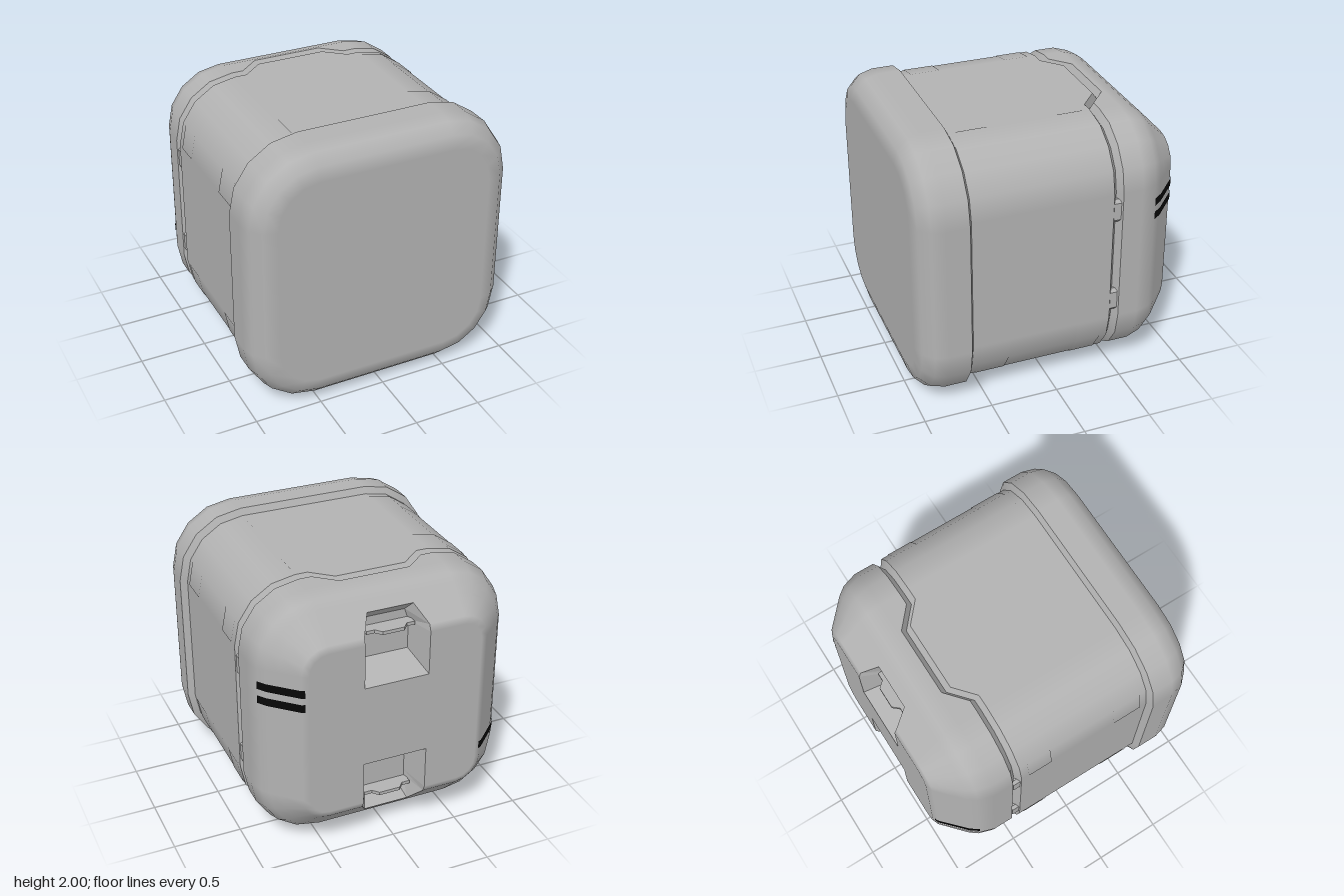
import * as THREE from 'three';

const RAD = Math.PI / 180;

// Rounded-square outline of half-size h; w is the inner break on the top and bottom edges
function outline(h, w = 0.26) {
  const pts = [];
  const r = h - 0.5;
  const corner = (cx, cy, start) => {
    for (let i = 0; i <= 4; i++) {
      const a = (start + i * 22.5) * RAD;
      pts.push({ x: cx + r * Math.cos(a), y: cy + r * Math.sin(a), a });
    }
  };
  const edge = (s) => [0.41, w, -w, -0.41].forEach((x, i) =>
    pts.push({ x: x * s, y: h * s, a: s * Math.PI / 2, inner: i === 1 || i === 2 }));
  corner(0.5, 0.5, 0);
  edge(1);
  corner(-0.5, 0.5, 90);
  corner(-0.5, -0.5, 180);
  edge(-1);
  corner(0.5, -0.5, 270);
  return pts;
}

// Skin through rows of { z, h, tilt of normal, shift of inner points, inner break, notch }
function loft(rows) {
  const pos = [], nor = [], idx = [];
  const n = 28;
  rows.forEach(({ z, h, tilt, shift = 0, w, notch }, k) => {
    const c = Math.cos(tilt * RAD), s = Math.sin(tilt * RAD);
    for (const p of outline(h, w)) {
      pos.push(p.x, p.y, z + (p.inner ? shift : 0));
      nor.push(c * Math.cos(p.a), c * Math.sin(p.a), s);
    }
    const prev = rows[k - 1];
    if (!prev || (prev.z === z && prev.h === h)) return;
    for (let i = 0; i < n; i++) {
      if (notch && (i === 6 || i === 20)) continue;
      const j = (i + 1) % n, a = (k - 1) * n, b = k * n;
      idx.push(a + i, b + i, a + j, a + j, b + i, b + j);
    }
  });
  const g = new THREE.BufferGeometry();
  g.setAttribute('position', new THREE.Float32BufferAttribute(pos, 3));
  g.setAttribute('normal', new THREE.Float32BufferAttribute(nor, 3));
  g.setIndex(idx);
  return g;
}

// Walls and floor of a sunken handle, from rim loop to floor loop
function pocketGeometry() {
  const mirror = (half) => [...half, ...half.map(([x, y, z]) => [-x, y, z]).reverse()];
  const rim = mirror([[0.24, 0.31, -1], [0.24, 0.64, -1], [0.24, 0.69, -0.98], [0.17, 0.811, -0.866]]);
  const floor = mirror([[0.17, 0.43, -0.8], [0.17, 0.6, -0.8], [0.17, 0.65, -0.8], [0.14, 0.74, -0.8]]);
  const pos = [];
  for (let i = 0; i < rim.length; i++) {
    const j = (i + 1) % rim.length;
    pos.push(...rim[i], ...rim[j], ...floor[i], ...rim[j], ...floor[j], ...floor[i]);
    if (i > 0 && j > 0) pos.push(...floor[0], ...floor[i], ...floor[j]);
  }
  const g = new THREE.BufferGeometry();
  g.setAttribute('position', new THREE.Float32BufferAttribute(pos, 3));
  g.computeVertexNormals();
  return g;
}

function extrude(points, depth) {
  const shape = new THREE.Shape(points.map(([x, y]) => new THREE.Vector2(x, y)));
  return new THREE.ExtrudeGeometry(shape, { depth, bevelEnabled: false });
}

export function createModel() {
  const grey = new THREE.MeshStandardMaterial({ color: 0xb2b2b2, side: THREE.DoubleSide });
  grey.name = 'grey shell';
  const black = new THREE.MeshStandardMaterial({ color: 0x080808, side: THREE.DoubleSide });
  black.name = 'black paint';

  const model = new THREE.Group();
  model.name = 'container';
  const body = new THREE.Group();
  body.name = 'body';
  body.position.y = 1;
  model.add(body);
  const add = (name, geometry, material = grey, parent = body) => {
    const m = new THREE.Mesh(geometry, material);
    m.name = name;
    parent.add(m);
    return m;
  };

  // Rounded front lid with its step
  add('frontLid', loft([
    { z: 1, h: 0.8, tilt: 90 }, { z: 0.973, h: 0.9, tilt: 60 }, { z: 0.9, h: 0.973, tilt: 30 },
    { z: 0.8, h: 1, tilt: 0 }, { z: 0.64, h: 1, tilt: 0 },
    { z: 0.64, h: 1, tilt: -63 }, { z: 0.615, h: 0.95, tilt: -63 },
  ]));

  // Middle section and V-shaped seam, which jogs back on top and bottom
  const shift = -0.13;
  add('middleShell', loft([
    { z: 0.615, h: 0.95, tilt: 0 }, { z: -0.42, h: 0.95, tilt: 0, shift },
  ]));
  add('seam', loft([
    { z: -0.42, h: 0.95, tilt: -55, shift }, { z: -0.455, h: 0.9, tilt: -55, shift },
    { z: -0.455, h: 0.9, tilt: 55, shift }, { z: -0.49, h: 0.95, tilt: 55, shift },
  ]));

  // Chamfered back section, notched for the handles
  add('backShell', loft([
    { z: -0.49, h: 0.95, tilt: 0, shift }, { z: -0.64, h: 0.95, tilt: 0 },
    { z: -0.75, h: 0.915, tilt: -28 }, { z: -0.81, h: 0.87, tilt: -45 },
    { z: -0.866, h: 0.811, tilt: -45, w: 0.17 },
    { z: -0.98, h: 0.69, tilt: -45, w: 0.24, notch: true },
    { z: -1, h: 0.64, tilt: -90, w: 0.24, notch: true },
  ]));

  // Flat end faces
  const toShape = (pts) => new THREE.Shape(pts.map((p) => new THREE.Vector2(p.x, p.y)));
  add('frontFace', new THREE.ShapeGeometry(toShape(outline(0.8)))).position.z = 1;
  const back = outline(0.64, 0.24);
  back.splice(21, 0, { x: -0.24, y: -0.31 }, { x: 0.24, y: -0.31 });
  back.splice(7, 0, { x: 0.24, y: 0.31 }, { x: -0.24, y: 0.31 });
  add('backFace', new THREE.ShapeGeometry(toShape(back)).rotateY(Math.PI)).position.z = -1;

  // Sunken handles with a tabbed lip, above and below
  const pocket = pocketGeometry();
  const lip = extrude([[-0.18, 0.79], [0.18, 0.79], [0.18, 0.88], [0.12, 0.88], [0.08, 0.925],
    [-0.08, 0.925], [-0.12, 0.88], [-0.18, 0.88]], 0.025).rotateX(-Math.PI / 2);
  for (const turn of [0, Math.PI]) {
    const handle = new THREE.Group();
    handle.name = turn ? 'lowerHandle' : 'upperHandle';
    handle.rotation.z = turn;
    add('handlePocket', pocket, grey, handle);
    add('handleLip', lip, grey, handle).position.y = 0.65;
    body.add(handle);
  }

  // Clips bridging the seam on both sides
  const clip = extrude([[0.89, -0.09], [0.92, -0.09], [0.943, -0.065], [0.943, 0.065],
    [0.92, 0.09], [0.89, 0.09]], 0.06);
  for (const turn of [0, Math.PI]) {
    for (const y of [-0.365, 0.365]) {
      const holder = new THREE.Group();
      holder.name = 'seamClip';
      holder.rotation.z = turn;
      add('clip', clip, grey, holder).position.set(0, y, -0.48);
      body.add(holder);
    }
  }

  // Thin reinforcing bands wrapped round the four long edges
  for (const [z, length] of [[-0.268, 0.185], [0.45, 0.22]]) {
    for (let i = 0; i < 4; i++) {
      const a = (45 + i * 90) * RAD;
      const band = new THREE.CylinderGeometry(0.454, 0.454, length, 4, 1, true, 0, Math.PI / 2);
      band.rotateX(Math.PI / 2).rotateZ(Math.PI / 2 + i * Math.PI / 2);
      add('edgeBand', band).position.set(0.5 * Math.sign(Math.cos(a)), 0.5 * Math.sign(Math.sin(a)), z);
    }
  }

  // Painted stripes following the side chamfer: two on one side, one on the other
  const path = [[0.92, -0.752], [0.876, -0.814], [0.695, -0.985], [0.67, -0.995]];
  for (const [y, turn] of [[0.37, 0], [0.26, 0], [0.4, Math.PI]]) {
    const g = new THREE.PlaneGeometry(1, 0.06, 3, 1);
    const p = g.attributes.position;
    for (let i = 0; i < p.count; i++) {
      const [x, z] = path[i % 4];
      p.setXYZ(i, x, p.getY(i) + y, z);
    }
    g.computeVertexNormals();
    add('stripe', g, black).rotation.z = turn;
  }
  return model;
}
